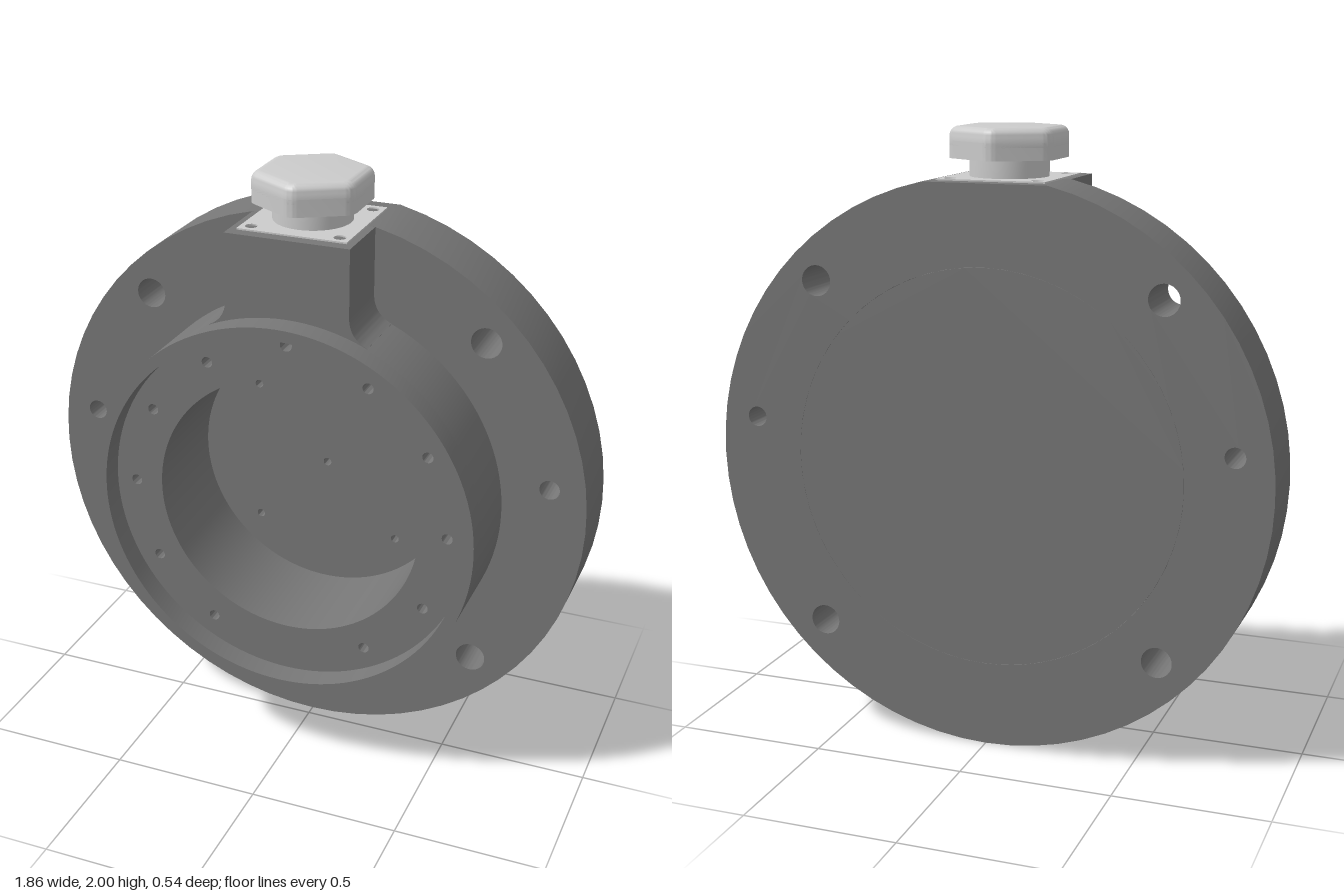
import * as THREE from 'three';
import { toCreasedNormals } from 'three/addons/utils/BufferGeometryUtils.js';

const CY = 0.93;      // height of the disc axis
const CAP_Z = -0.035; // depth of the cap axis
const dark = new THREE.MeshStandardMaterial({ color: 0x777777 });
const light = new THREE.MeshStandardMaterial({ color: 0xcccccc });

function circle(r, x = 0, y = 0, Type = THREE.Path) {
  return new Type().absarc(x, y, r, 0, Math.PI * 2, false);
}

function part(name, geometry, material) {
  const mesh = new THREE.Mesh(toCreasedNormals(geometry, 0.6), material);
  mesh.name = name;
  return mesh;
}

// Slab facing +z between two depths, drawn around the disc axis
function slab(name, shape, z0, z1, segments) {
  const g = new THREE.ExtrudeGeometry(shape, { depth: z1 - z0, bevelEnabled: false, curveSegments: segments });
  g.translate(0, CY, z0);
  return part(name, g, dark);
}

// Horizontal slab standing on height y, centred on the cap axis
function flat(name, shape, y, height, bevel = 0) {
  const g = new THREE.ExtrudeGeometry(shape, {
    depth: height - 2 * bevel, bevelEnabled: bevel > 0, bevelSize: bevel, bevelThickness: bevel,
    bevelOffset: -bevel, bevelSegments: 5, curveSegments: 8
  });
  g.translate(0, 0, bevel);
  g.rotateX(-Math.PI / 2);
  g.translate(0, y, CAP_Z);
  return part(name, g, light);
}

// Hexagon with softened corners, points along z
function roundedHex(r, soft) {
  const pts = [];
  for (let i = 0; i < 6; i++) {
    const a = Math.PI / 2 + i * Math.PI / 3;
    pts.push(new THREE.Vector2(Math.cos(a) * r, Math.sin(a) * r));
  }
  const s = new THREE.Shape();
  pts.forEach((p, i) => {
    const a = p.clone().lerp(pts[(i + 5) % 6], soft);
    const b = p.clone().lerp(pts[(i + 1) % 6], soft);
    if (i === 0) s.moveTo(a.x, a.y); else s.lineTo(a.x, a.y);
    s.quadraticCurveTo(p.x, p.y, b.x, b.y);
  });
  s.closePath();
  return s;
}

export function createModel() {
  const model = new THREE.Group();
  model.name = 'flangedHousing';

  // Mounting flange, flattened at the top, with through holes
  const cut = Math.asin(0.205 / 0.93);
  const flange = new THREE.Shape();
  flange.absarc(0, 0, 0.93, Math.PI / 2 + cut, Math.PI * 2.5 - cut, false);
  flange.closePath();
  flange.holes.push(circle(0.65));
  for (const s of [-1, 1]) {
    flange.holes.push(circle(0.05, s * 0.575, 0.58), circle(0.05, s * 0.575, -0.57), circle(0.033, s * 0.805, 0.115));
  }
  model.add(slab('flange', flange, -0.27, -0.035, 32));

  // Flush back cover
  model.add(slab('backCover', circle(0.649, 0, 0, THREE.Shape), -0.27, -0.22, 64));

  // Bore floor with five small holes
  const floor = circle(0.649, 0, 0, THREE.Shape);
  floor.holes.push(circle(0.014));
  for (const x of [-0.25, 0.25]) for (const y of [-0.25, 0.25]) floor.holes.push(circle(0.014, x, y));
  model.add(slab('boreFloor', floor, -0.22, -0.17, 64));

  // Body ring with bore, bolt circle and key slot
  const body = circle(0.653, 0, 0, THREE.Shape);
  body.holes.push(circle(0.45));
  for (let i = 0; i < 12; i++) {
    if (i % 6 === 3) continue;
    const a = i * Math.PI / 6;
    body.holes.push(circle(0.018, Math.cos(a) * 0.543, Math.sin(a) * 0.543));
  }
  const slot = new THREE.Path();
  slot.moveTo(0.02, 0.613);
  slot.lineTo(-0.02, 0.613);
  slot.lineTo(-0.02, 0.57);
  slot.absarc(0, 0.57, 0.02, Math.PI, Math.PI * 2, false);
  slot.closePath();
  body.holes.push(slot);
  model.add(slab('bodyRing', body, -0.17, 0.19, 64));

  // Raised rim around the front recess
  const rim = circle(0.653, 0, 0, THREE.Shape);
  rim.holes.push(circle(0.615));
  model.add(slab('frontRim', rim, 0.19, 0.27, 64));

  // Cable boss, flaring into the body ring
  const boss = new THREE.Shape();
  boss.moveTo(-0.205, 0.907);
  boss.lineTo(-0.205, 0.69);
  boss.quadraticCurveTo(-0.205, 0.625, -0.265, 0.598);
  boss.lineTo(-0.22, 0.56);
  boss.lineTo(0.22, 0.56);
  boss.lineTo(0.265, 0.598);
  boss.quadraticCurveTo(0.205, 0.625, 0.205, 0.69);
  boss.lineTo(0.205, 0.907);
  boss.closePath();
  // The part inside the ring stays shallow of the slot and bolt holes
  const arc = new THREE.Shape();
  arc.moveTo(0.205, 0.907);
  arc.lineTo(-0.205, 0.907);
  arc.lineTo(-0.205, 0.69);
  arc.quadraticCurveTo(-0.205, 0.625, -0.265, 0.598);
  arc.absarc(0, 0, 0.64, Math.PI / 2 + 0.415, Math.PI / 2 - 0.415, true);
  arc.lineTo(0.265, 0.598);
  arc.quadraticCurveTo(0.205, 0.625, 0.205, 0.69);
  arc.closePath();
  model.add(slab('cableBoss', arc, -0.035, 0.185, 16));

  // Square connector plate with corner holes
  const plate = new THREE.Shape();
  plate.moveTo(-0.18, -0.18);
  plate.lineTo(0.18, -0.18);
  plate.lineTo(0.18, 0.18);
  plate.lineTo(-0.18, 0.18);
  plate.closePath();
  for (const x of [-0.145, 0.145]) for (const y of [-0.145, 0.145]) plate.holes.push(circle(0.02, x, y));
  model.add(flat('connectorPlate', plate, 1.832, 0.01));

  // Neck and hexagonal cap with a rounded top edge
  const neck = new THREE.CylinderGeometry(0.127, 0.127, 0.08, 40);
  neck.translate(0, 1.87, CAP_Z);
  model.add(part('capNeck', neck, light));
  const cap = new THREE.Group();
  cap.name = 'hexCap';
  const hex = roundedHex(0.198, 0.14);
  cap.add(flat('capSkirt', hex, 1.9, 0.055), flat('capTop', hex, 1.91, 0.09, 0.03));
  model.add(cap);

  return model;
}
